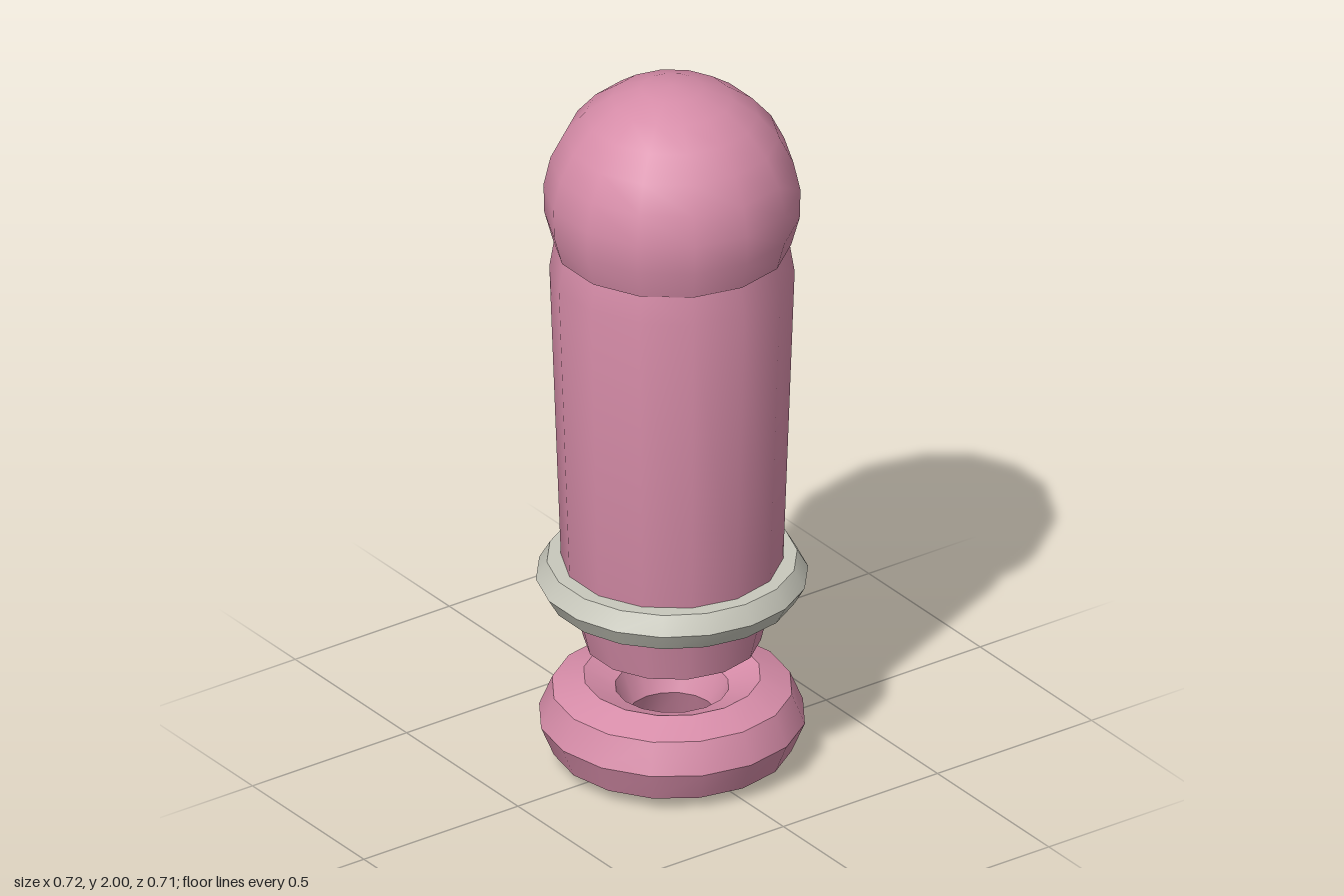
import * as THREE from 'three';
import { toCreasedNormals } from 'three/addons/utils/BufferGeometryUtils.js';

export function createModel() {
  const model = new THREE.Group();
  const pink = new THREE.MeshStandardMaterial({ color: 0xd68ca8 });
  pink.name = 'dusty pink';
  const grey = new THREE.MeshStandardMaterial({ color: 0xc8c8bc });
  grey.name = 'warm grey';

  // Smooths around the sides but keeps profile corners sharp
  const add = (name, geometry, material, y = 0) => {
    const mesh = new THREE.Mesh(toCreasedNormals(geometry, 0.62), material);
    mesh.name = name;
    mesh.position.y = y;
    model.add(mesh);
  };
  const ring = (radius, tube, tubeSides, sides) =>
    new THREE.TorusGeometry(radius, tube, tubeSides, sides).rotateX(Math.PI / 2);

  // Tapered shaft with a shallow cone underneath and a slight neck on top
  const profile = [
    [0, 0.305], [0.234, 0.345], [0.285, 0.555], [0.293, 0.59],
    [0.323, 1.45], [0.31, 1.53],
  ].map(([r, y]) => new THREE.Vector2(r, y));
  add('shaft', new THREE.LatheGeometry(profile, 14).rotateY(Math.PI / 2), pink);

  // Rounded cap, cut off below where it meets the neck
  add('cap', new THREE.SphereGeometry(0.34, 14, 8, 0, Math.PI * 2, 0, Math.PI * 5 / 8), pink, 1.66);

  // Collar around the shaft and the separate base ring
  add('collar', ring(0.302, 0.058, 6, 18), grey, 0.54);
  add('baseRing', ring(0.235, 0.119, 8, 16), pink, 0.119);

  return model;
}
